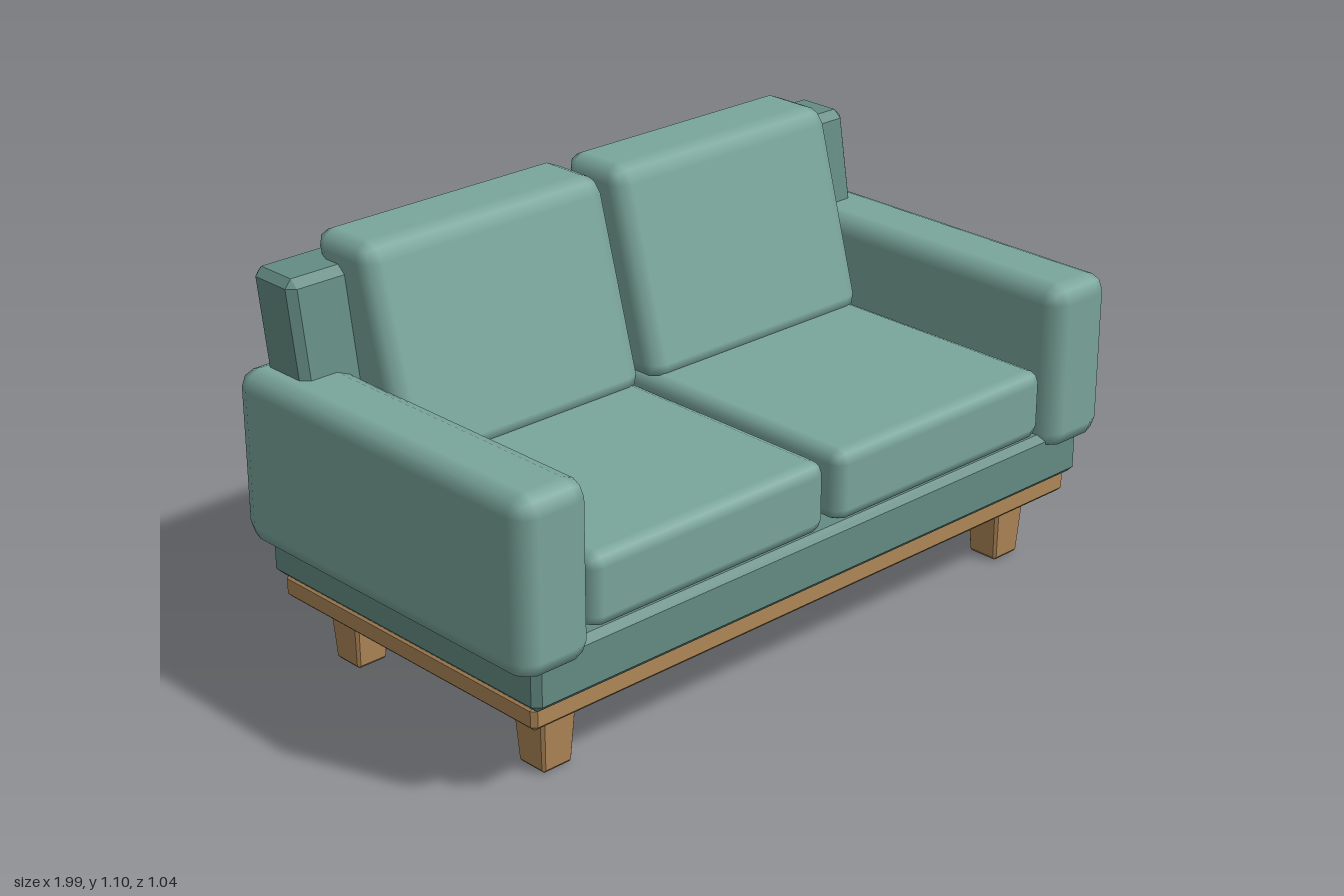
import * as THREE from 'three';
import { RoundedBoxGeometry } from 'three/addons/geometries/RoundedBoxGeometry.js';
import { ConvexGeometry } from 'three/addons/geometries/ConvexGeometry.js';

const fabric = new THREE.MeshStandardMaterial({ color: 0x7aa69b });
const darkFabric = new THREE.MeshStandardMaterial({ color: 0x648c84, flatShading: true });
const wood = new THREE.MeshStandardMaterial({ color: 0xb08858, flatShading: true });

// Box with one flat chamfer on every edge; `taper` scales its bottom end
function chamferBox(w, h, d, b, taper = 1) {
  const points = [];
  for (const sx of [-1, 1]) for (const sy of [-1, 1]) for (const sz of [-1, 1]) {
    for (const axis of [0, 1, 2]) {
      const p = [w, h, d].map((s, i) => s / 2 - (i === axis ? 0 : b));
      const k = sy < 0 ? taper : 1;
      points.push(new THREE.Vector3(sx * p[0] * k, sy * p[1], sz * p[2] * k));
    }
  }
  return new ConvexGeometry(points);
}

// Soft upholstered block with a two-step rounded edge
const softBox = (w, h, d, r) => new RoundedBoxGeometry(w, h, d, 1, r);

// Lean a geometry backwards while its top stays level
function lean(geometry, slope) {
  return geometry.applyMatrix4(new THREE.Matrix4().set(
    1, 0, 0, 0,
    0, 1, 0, 0,
    0, -slope, 1, 0,
    0, 0, 0, 1));
}

export function createModel() {
  const sofa = new THREE.Group();
  sofa.name = 'sofa';

  function add(name, geometry, material, x, y, z) {
    const mesh = new THREE.Mesh(geometry, material);
    mesh.name = name;
    mesh.position.set(x, y, z);
    sofa.add(mesh);
  }

  // Wooden plinth and upholstered base
  add('plinth', chamferBox(1.85, 0.065, 0.93, 0.012), wood, 0, 0.2075, 0);
  add('base', chamferBox(1.88, 0.145, 0.985, 0.018), darkFabric, 0, 0.3075, 0);

  // Leaning back frame
  add('backFrame', lean(chamferBox(1.865, 0.67, 0.155, 0.02), 0.165), darkFabric, 0, 0.695, -0.386);

  for (const side of [1, -1]) {
    const label = side > 0 ? 'left' : 'right';

    add(label + 'Arm', softBox(0.21, 0.455, 1.045, 0.05), fabric, side * 0.892, 0.5625, 0);

    // Seat and back cushions
    add(label + 'SeatCushion', softBox(0.755, 0.19, 0.84, 0.035), fabric, side * 0.397, 0.48, 0.08);
    add(label + 'BackCushion', lean(softBox(0.755, 0.54, 0.21, 0.045), 0.28), fabric, side * 0.397, 0.825, -0.313);

    // Tapered legs
    for (const end of [1, -1]) {
      add(label + (end > 0 ? 'Front' : 'Back') + 'Leg', chamferBox(0.112, 0.19, 0.112, 0.008, 0.8),
        wood, side * 0.79, 0.095, end * 0.345);
    }
  }

  return sofa;
}
